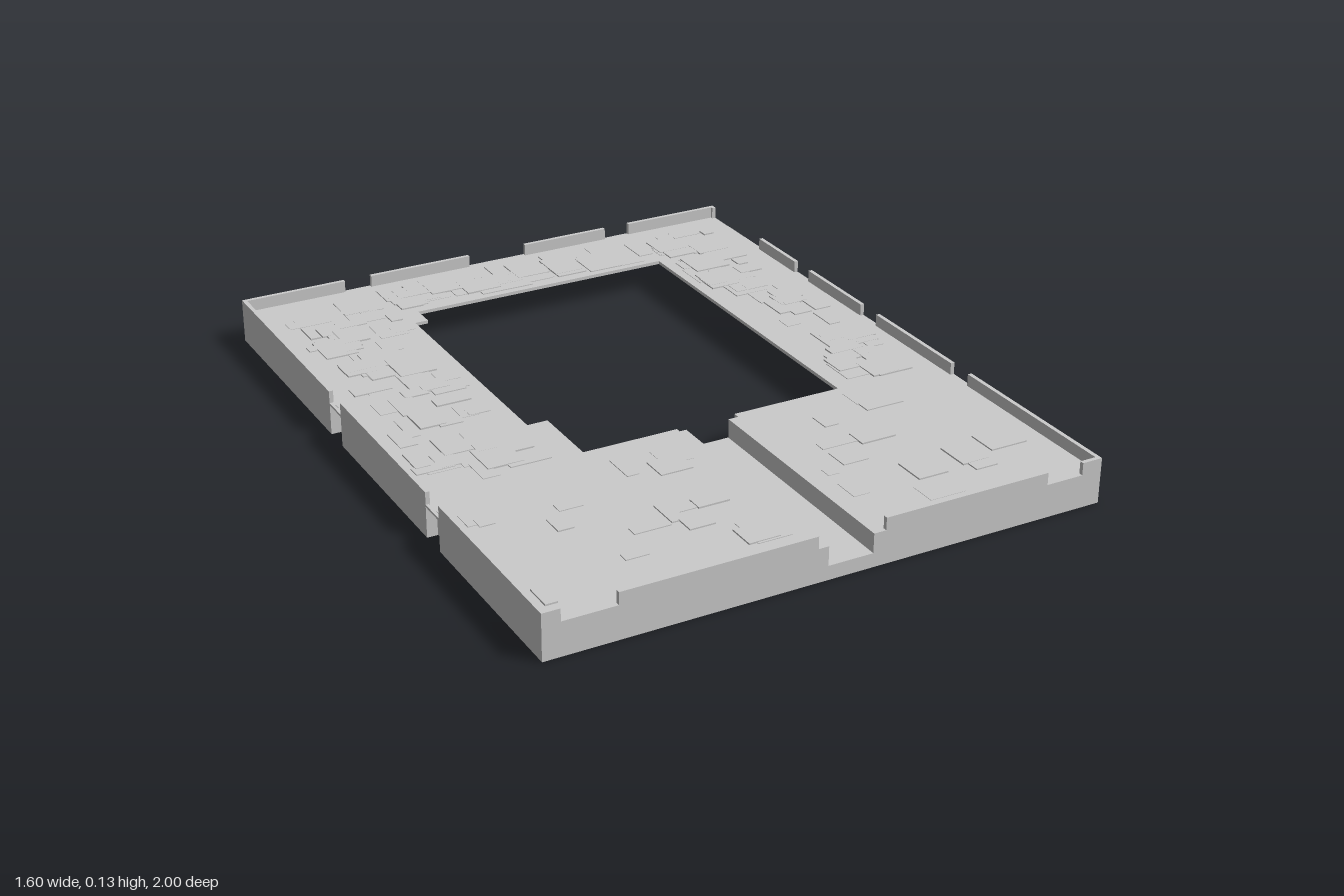
import * as THREE from 'three';

const DECK = 0.095, THICK = 0.01, TOP = 0.13, WALL = 0.012, RECESS = 0.03;
const material = new THREE.MeshStandardMaterial({ color: 0xcccccc, flatShading: true });

function add(parent, geometry, name) {
  const mesh = new THREE.Mesh(geometry, material);
  mesh.name = name;
  parent.add(mesh);
  return mesh;
}

// Box given by its limits on each axis
function block(parent, name, x0, x1, y0, y1, z0, z1) {
  add(parent, new THREE.BoxGeometry(x1 - x0, y1 - y0, z1 - z0), name)
    .position.set((x0 + x1) / 2, (y0 + y1) / 2, (z0 + z1) / 2);
}

// Recessed bay in a wall: back plate, cheeks and an overhanging ledge
function bay(parent, u0, u1) {
  block(parent, 'bayBack', u0, u1, 0, DECK - THICK, -RECESS - 0.008, -RECESS);
  for (const [a, b] of [[u0 - 0.008, u0], [u1, u1 + 0.008]])
    block(parent, 'bayCheek', a, b, 0, DECK - 0.002, -RECESS - 0.008, -0.002);
  const profile = new THREE.Shape([[0, 0.0945], [-RECESS, 0.0945], [-RECESS, 0.07], [0, 0.088]]
    .map(([w, y]) => new THREE.Vector2(-w, y)));
  const ledge = new THREE.ExtrudeGeometry(profile, { depth: u1 - u0, bevelEnabled: false });
  ledge.rotateY(Math.PI / 2);
  add(parent, ledge, 'bayLedge').position.x = u0;
}

// Wall along local x with its outer face at z = 0.
// Bays cut it to the ground, gaps lower it to the deck, cuts lower it to the channel floor.
function wall(name, half, { bays = [], gaps = [], cuts = [] }, flip) {
  const g = new THREE.Group();
  g.name = name;
  const turn = list => list.map(([a, b]) => (flip ? [-b, -a] : [a, b]));
  const zones = [[turn(bays), 0], [turn(cuts), 0.04], [turn(gaps), DECK]];
  const stops = [-half, half, ...zones.flatMap(z => z[0].flat())].sort((a, b) => a - b);
  for (let i = 0; i + 1 < stops.length; i++) {
    const a = stops[i], b = stops[i + 1], m = (a + b) / 2;
    if (b - a < 1e-4) continue;
    const zone = zones.find(([list]) => list.some(([p, q]) => m > p && m < q));
    const height = zone ? zone[1] : TOP;
    if (height > 0) block(g, 'wallSection', a, b, 0, height, -WALL, 0);
  }
  for (const [a, b] of turn(bays)) bay(g, a, b);
  return g;
}

export function createModel() {
  const model = new THREE.Group();
  model.name = 'platform';

  // Thin deck with a stepped opening and a slot running to the front
  const outline = [
    [-0.025, 0.99], [-0.79, 0.99], [-0.79, -0.99], [0.79, -0.99], [0.79, 0.99], [0.105, 0.99],
    [0.105, 0.295], [0.135, 0.295], [0.135, 0.275], [0.465, 0.275], [0.465, -0.75],
    [-0.345, -0.75], [-0.345, -0.68], [-0.385, -0.68], [-0.385, 0.07], [-0.325, 0.07],
    [-0.325, 0.28], [-0.045, 0.28], [-0.045, 0.295], [-0.025, 0.295],
  ];
  const shape = new THREE.Shape(outline.map(([x, z]) => new THREE.Vector2(x, -z)));
  const deck = new THREE.ExtrudeGeometry(shape, { depth: THICK, bevelEnabled: false });
  deck.rotateX(-Math.PI / 2);
  add(model, deck, 'deck').position.y = DECK - THICK;

  // Sunken channel from the opening to the front
  block(model, 'channelFloor', -0.025, 0.105, 0.034, 0.04, 0.295, 0.999);
  block(model, 'channelSide', -0.031, -0.025, 0.034, DECK - 0.001, 0.295, 0.99);
  block(model, 'channelSide', 0.105, 0.111, 0.034, DECK - 0.001, 0.295, 0.99);

  // Perimeter walls
  const front = wall('frontWall', 0.8, {
    cuts: [[-0.025, 0.105]],
    gaps: [[-0.75, -0.6], [-0.055, -0.025], [0.105, 0.14], [0.63, 0.74]],
  });
  front.position.z = 1;
  const back = wall('backWall', 0.8, {
    bays: [[-0.48, -0.395], [0.4, 0.485]], gaps: [[-0.07, 0.12]],
  }, true);
  back.position.z = -1;
  back.rotation.y = Math.PI;
  const left = wall('leftWall', 1, {
    bays: [[-0.98, -0.9], [-0.475, -0.395], [-0.107, -0.025], [0.35, 0.43]],
    gaps: [[-0.9, -0.685]],
  }, true);
  left.position.x = 0.8;
  left.rotation.y = Math.PI / 2;
  const right = wall('rightWall', 1, { bays: [[-0.305, -0.225], [0.345, 0.425]] });
  right.position.x = -0.8;
  right.rotation.y = -Math.PI / 2;
  model.add(front, back, left, right);

  // Shallow plating around the opening, sparser on the front half
  let seed = 7;
  const rand = () => (seed = (seed * 16807) % 2147483647) / 2147483647;
  const zones = [
    [-0.76, -0.4, -0.95, 0.3, 60], [0.48, 0.76, -0.95, 0.3, 50], [-0.4, 0.48, -0.96, -0.77, 36],
    [-0.76, -0.05, 0.31, 0.95, 16], [0.15, 0.76, 0.31, 0.95, 14],
  ];
  const plating = new THREE.Group();
  plating.name = 'plating';
  for (const [x0, x1, z0, z1, count] of zones) {
    for (let i = 0; i < count; i++) {
      const w = 0.03 + 0.09 * rand(), d = 0.03 + 0.09 * rand(), h = 0.001 + 0.004 * rand();
      const x = x0 + (x1 - x0 - w) * rand(), z = z0 + (z1 - z0 - d) * rand();
      block(plating, 'plate', x, x + w, DECK - THICK - h / 2, DECK + h, z, z + d);
    }
  }
  model.add(plating);
  return model;
}
